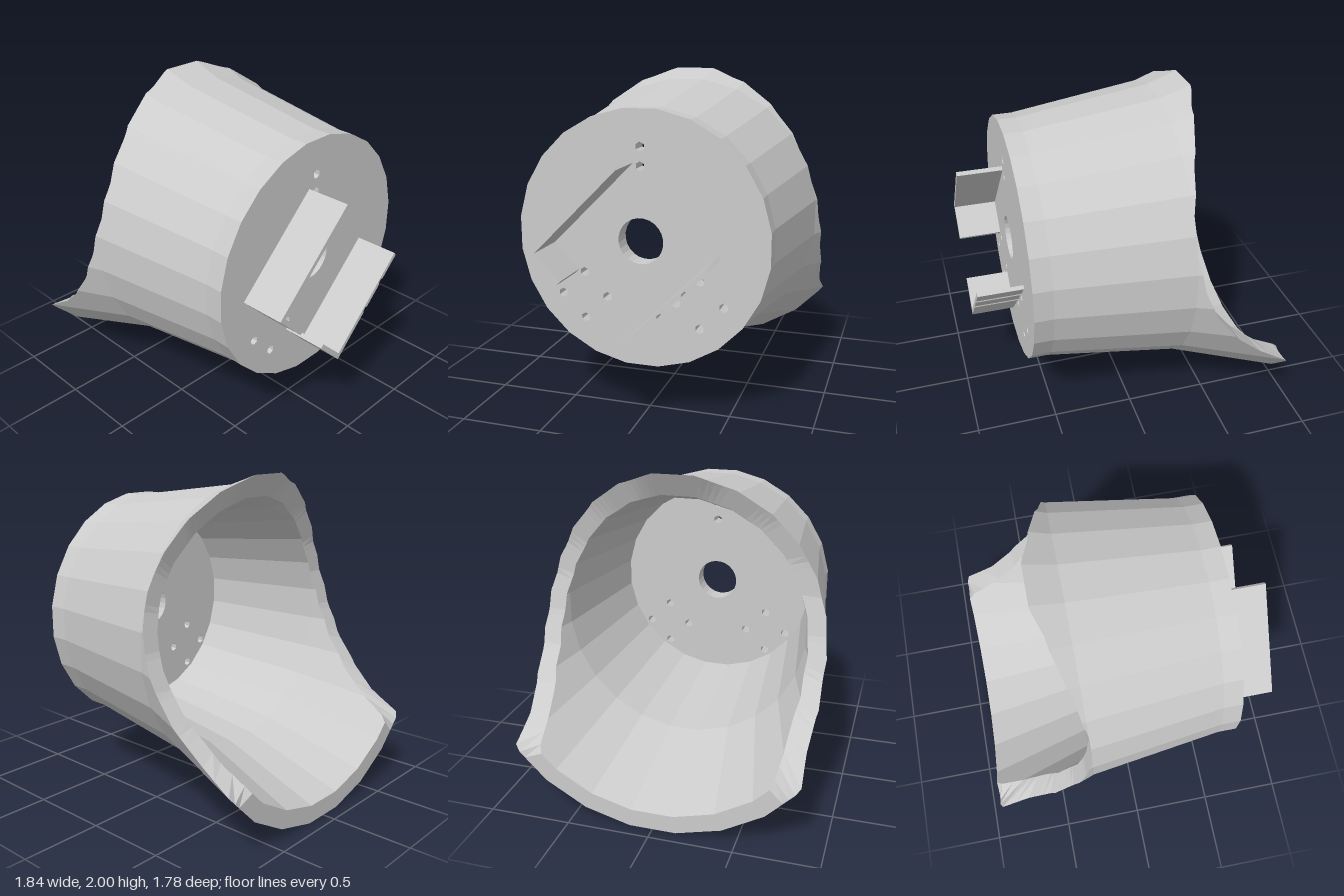
import * as THREE from 'three';

const SIDES = 24, SUB = 6, AXIS_Y = 1.08;
const PLATE_BACK = 0.53, PLATE_FRONT = 0.645, FIN_END = 0.915, WALL = 0.11;
const grey = new THREE.MeshStandardMaterial({ color: 0xcccccc, flatShading: true, side: THREE.DoubleSide });

// Linear interpolation through [key, value] pairs with ascending keys
function lookup(table, k) {
  if (k <= table[0][0]) return table[0][1];
  for (let i = 1; i < table.length; i++) {
    const [a, va] = table[i - 1], [b, vb] = table[i];
    if (k <= b) return va + (vb - va) * (k - a) / (b - a);
  }
  return table[table.length - 1][1];
}

// Corner radius of the shell along x
const RADII = [[-0.92, 1.089], [-0.27, 0.867], [PLATE_BACK, 0.757]];
// Scooped rear edge: x for each height y
const SCOOP = [[0.41, -0.92], [0.53, -0.72], [0.68, -0.555], [0.867, -0.41], [1.067, -0.32],
  [1.305, -0.27], [1.505, -0.27], [1.743, -0.32], [1.94, -0.405], [2.0, -0.46]];

// x where a straight line along the shell meets the scoop
function cutX(c, inset) {
  let lo = -0.92, hi = -0.27;
  for (let i = 0; i < 40; i++) {
    const x = (lo + hi) / 2;
    const y = AXIS_Y + (lookup(RADII, x) - inset) * c;
    if (x > lookup(SCOOP, y)) hi = x; else lo = x;
  }
  return hi;
}

// Flared, hollow shell: one profile column for each step round the polygon
function makeShell() {
  const pos = [], index = [], rows = 6, cols = SIDES * SUB;
  const corner = k => {
    const a = (k + 0.5) * 2 * Math.PI / SIDES;
    return [Math.cos(a), Math.sin(a)];
  };
  for (let i = 0; i <= cols; i++) {
    const k = Math.floor(i / SUB), t = (i % SUB) / SUB;
    const [c0, s0] = corner(k), [c1, s1] = corner(k + 1);
    const c = c0 + (c1 - c0) * t, s = s0 + (s1 - s0) * t;
    const profile = [[PLATE_BACK, 0], [-0.27, 0], [cutX(c, 0), 0],
      [cutX(c, WALL), WALL], [-0.27, WALL], [PLATE_BACK, WALL]];
    for (const [x, inset] of profile) {
      const r = lookup(RADII, x) - inset;
      pos.push(x, AXIS_Y + r * c, r * s);
    }
  }
  for (let i = 0; i < cols; i++) {
    for (let j = 0; j < rows - 1; j++) {
      const a = i * rows + j, b = a + rows;
      index.push(a, a + 1, b, b, a + 1, b + 1);
    }
  }
  const g = new THREE.BufferGeometry();
  g.setAttribute('position', new THREE.Float32BufferAttribute(pos, 3));
  g.setIndex(index);
  const flat = g.toNonIndexed();
  flat.computeVertexNormals();
  return flat;
}

function ring(cx, cy, r, n, phase = 0) {
  return Array.from({ length: n }, (_, i) => {
    const a = phase + i * 2 * Math.PI / n;
    return new THREE.Vector2(cx + r * Math.cos(a), cy + r * Math.sin(a));
  });
}

// Extrudes a (-z, y) outline along x
function extrudeX(shape, x0, x1) {
  const g = new THREE.ExtrudeGeometry(shape, { depth: x1 - x0, bevelEnabled: false });
  return g.rotateY(Math.PI / 2).translate(x0, 0, 0);
}

// Round end plate with its bore and screw holes
function makePlate() {
  const shape = new THREE.Shape(ring(0, AXIS_Y, 0.757, SIDES, Math.PI / SIDES));
  shape.holes.push(new THREE.Path(ring(0, AXIS_Y, 0.135, SIDES, Math.PI / SIDES)));
  const screws = [[0, 1.62], [0, 1.51]];
  for (const side of [-1, 1]) {
    for (const [u, y] of [[0.35, 0.87], [0.49, 0.73], [0.21, 0.73], [0.35, 0.59]]) screws.push([side * u, y]);
  }
  for (const [u, y] of screws) shape.holes.push(new THREE.Path(ring(u, y, 0.028, 6, Math.PI / 6)));
  return extrudeX(shape, PLATE_BACK, PLATE_FRONT);
}

// Screw clearance groove in the 45 degree wall of the lower bracket
function groove(u, y) {
  const d = Math.SQRT1_2;
  return [[-0.022, 0], [-0.012, 0.012], [0.012, 0.012], [0.022, 0]]
    .map(([t, n]) => [u + d * (t - n), y + d * (t + n)]);
}

export function createModel() {
  const group = new THREE.Group();
  const add = (name, geometry) => {
    const mesh = new THREE.Mesh(geometry, grey);
    mesh.name = name;
    group.add(mesh);
  };
  add('flaredShell', makeShell());
  add('endPlate', makePlate());

  // L-shaped brackets standing on the plate
  const brackets = {
    upperBracket: [[-0.058, 1.547], [-0.577, 1.033], [-0.403, 0.863], [-0.385, 0.883],
      [-0.535, 1.036], [-0.04, 1.529]],
    lowerBracket: [[-0.042, 0.5], ...groove(0.199, 0.741), ...groove(0.339, 0.881), [0.473, 1.015],
      [0.456, 1.033], [-0.038, 0.542], [-0.192, 0.689], [-0.212, 0.669]],
  };
  for (const [name, outline] of Object.entries(brackets)) {
    const shape = new THREE.Shape(outline.map(([u, y]) => new THREE.Vector2(u, y)));
    add(name, extrudeX(shape, PLATE_FRONT, FIN_END));
  }
  return group;
}
